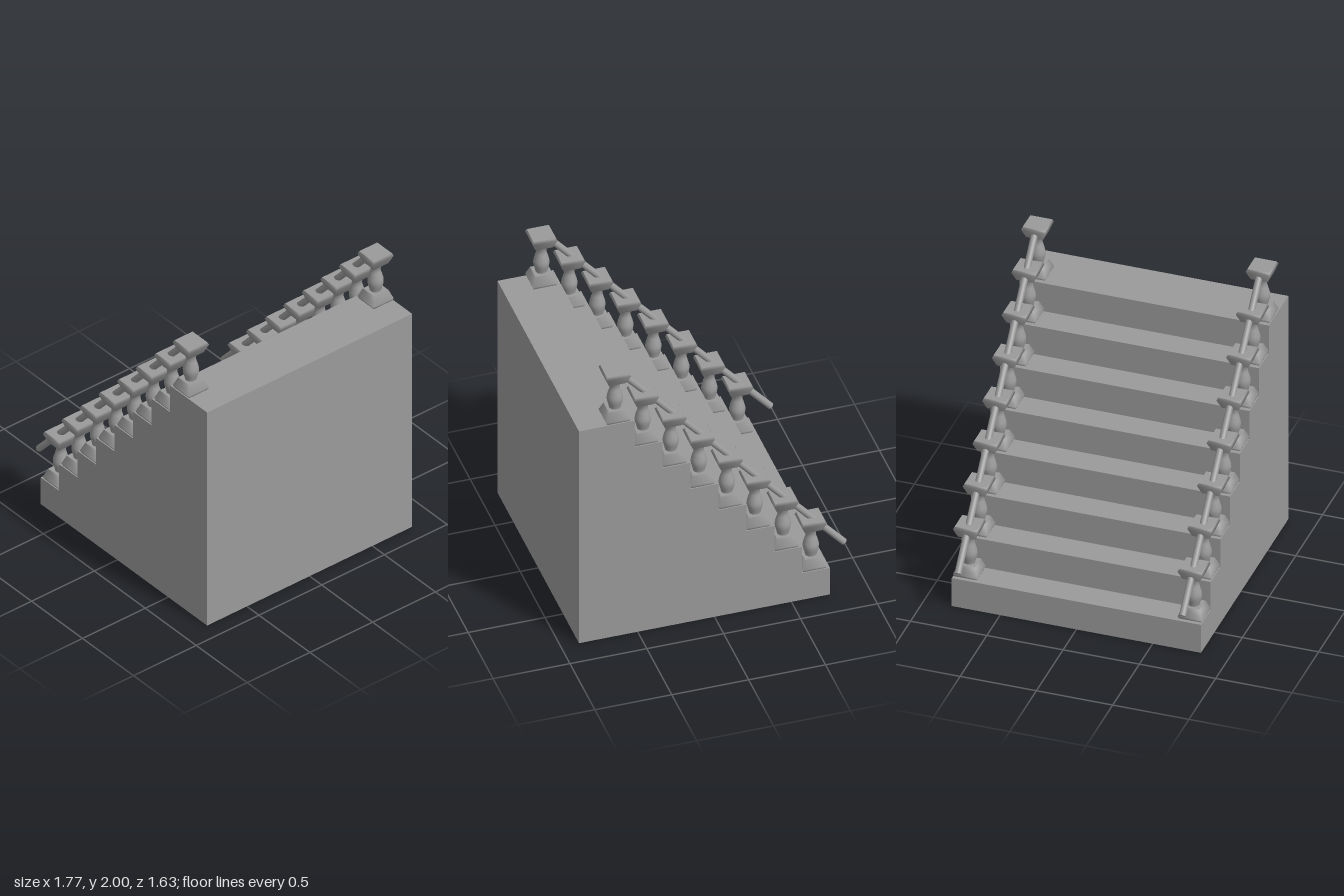
import * as THREE from 'three';
import { mergeGeometries } from 'three/addons/utils/BufferGeometryUtils.js';

const STEPS = 8, RUN = 0.1814, RISE = 0.2046;
const LEFT = -0.751, RIGHT = 0.882, HALF_DEPTH = 0.817, RAIL_Z = 0.736;

const smooth = new THREE.MeshStandardMaterial({ color: 0x9a9a9a });
const flat = new THREE.MeshStandardMaterial({ color: 0x9a9a9a, flatShading: true });

function mesh(name, geometry, material) {
  const m = new THREE.Mesh(geometry, material);
  m.name = name;
  return m;
}

// Square block from [half width, height] pairs, bottom to top: soft sides, crisp flat ends
function squareBlock(profile) {
  const first = profile[0], last = profile[profile.length - 1];
  const turn = (pairs) => new THREE.LatheGeometry(
    pairs.map(([w, y]) => new THREE.Vector2(w * Math.SQRT2, y)), 4, Math.PI / 4);
  return mergeGeometries([turn([[0, first[1]], first]), turn(profile), turn([last, [0, last[1]]])]);
}

// Solid flight of steps
function stairsGeometry() {
  const shape = new THREE.Shape();
  shape.moveTo(LEFT, 0);
  shape.lineTo(RIGHT, 0);
  shape.lineTo(RIGHT, STEPS * RISE);
  for (let i = STEPS - 1; i >= 0; i--) {
    shape.lineTo(LEFT + i * RUN, (i + 1) * RISE);
    if (i > 0) shape.lineTo(LEFT + i * RUN, i * RISE);
  }
  const g = new THREE.ExtrudeGeometry(shape, { depth: 2 * HALF_DEPTH, bevelEnabled: false });
  return g.translate(0, 0, -HALF_DEPTH);
}

// Baluster parts, standing on y = 0
const baseGeometry = squareBlock([[0.073, 0], [0.08, 0.018], [0.056, 0.08]]);
const capGeometry = squareBlock([[0.056, 0.284], [0.08, 0.345], [0.072, 0.363]]);
const shaftCurve = new THREE.SplineCurve([
  [0.037, 0.078], [0.04, 0.095], [0.049, 0.13], [0.05, 0.16], [0.04, 0.2],
  [0.032, 0.23], [0.034, 0.255], [0.044, 0.285],
].map(([r, y]) => new THREE.Vector2(r, y)));
const shaftGeometry = new THREE.LatheGeometry(shaftCurve.getPoints(24), 24);

function baluster() {
  const g = new THREE.Group();
  g.name = 'baluster';
  g.add(
    mesh('balusterBase', baseGeometry, smooth),
    mesh('balusterShaft', shaftGeometry, smooth),
    mesh('balusterCap', capGeometry, smooth),
  );
  return g;
}

// Sloping round handrail
function handrail() {
  const start = new THREE.Vector3(-0.867, 0.324, 0);
  const end = new THREE.Vector3(0.575, 1.954, 0);
  const direction = end.clone().sub(start);
  const rail = mesh('handrail', new THREE.CylinderGeometry(0.022, 0.022, direction.length(), 20), smooth);
  rail.position.copy(start).add(end).multiplyScalar(0.5);
  rail.quaternion.setFromUnitVectors(new THREE.Vector3(0, 1, 0), direction.normalize());
  return rail;
}

export function createModel() {
  const model = new THREE.Group();
  model.name = 'staircase';
  model.add(mesh('steps', stairsGeometry(), flat));

  // One balustrade along each side
  for (const side of [-1, 1]) {
    const balustrade = new THREE.Group();
    balustrade.name = side > 0 ? 'frontBalustrade' : 'backBalustrade';
    balustrade.position.z = side * RAIL_Z;
    for (let i = 0; i < STEPS; i++) {
      const b = baluster();
      b.position.set(-0.652 + i * 0.1821, (i + 1) * RISE, 0);
      balustrade.add(b);
    }
    balustrade.add(handrail());
    model.add(balustrade);
  }
  return model;
}
